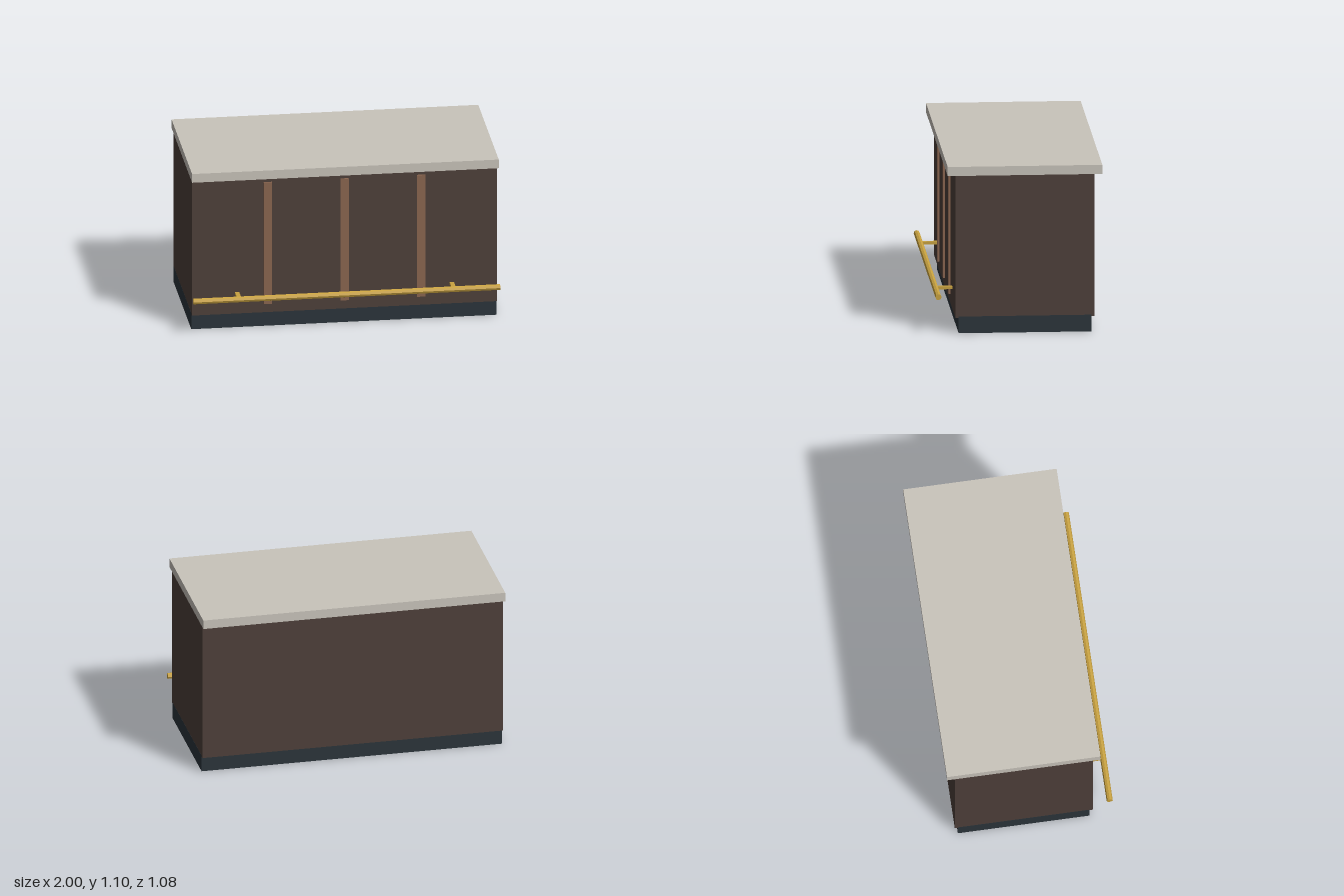
import * as THREE from 'three';

const material = (name, color, flatShading = false) => {
  const m = new THREE.MeshStandardMaterial({ color, flatShading });
  m.name = name;
  return m;
};

export function createModel() {
  const stone = material('pale stone', 0xc9c4bb);
  const darkWood = material('dark wood', 0x4e403a);
  const lightWood = material('light wood', 0x8b6650);
  const slate = material('dark slate', 0x2b343b);
  const brass = material('brass', 0xc9a240, true);

  const group = new THREE.Group();
  group.name = 'barCounter';

  // Box given by its extents along each axis
  const box = (name, mat, [x0, x1], [y0, y1], [z0, z1]) => {
    const mesh = new THREE.Mesh(new THREE.BoxGeometry(x1 - x0, y1 - y0, z1 - z0), mat);
    mesh.position.set((x0 + x1) / 2, (y0 + y1) / 2, (z0 + z1) / 2);
    mesh.name = name;
    group.add(mesh);
  };

  // Recessed base, cabinet and overhanging top
  box('plinth', slate, [-0.9955, 0.9955], [0, 0.11], [-0.47, 0.39]);
  box('cabinet', darkWood, [-0.995, 0.995], [0.102, 1.04], [-0.49, 0.411]);
  box('countertop', stone, [-1, 1], [1.04, 1.1], [-0.541, 0.461]);

  // Vertical trim strips on the front
  for (const x of [-0.5, 0, 0.5]) {
    box('trimStrip', lightWood, [x - 0.027, x + 0.027], [0.162, 1.002], [0.4, 0.423]);
  }

  // Foot rail with its two brackets
  const rail = new THREE.Mesh(new THREE.CylinderGeometry(0.02, 0.02, 2, 8), brass);
  rail.rotation.z = Math.PI / 2;
  rail.position.set(0, 0.241, 0.521);
  rail.name = 'footRail';
  group.add(rail);
  for (const x of [-0.7, 0.7]) {
    box('railBracket', brass, [x - 0.014, x + 0.014], [0.232, 0.25], [0.4, 0.521]);
  }

  return group;
}
